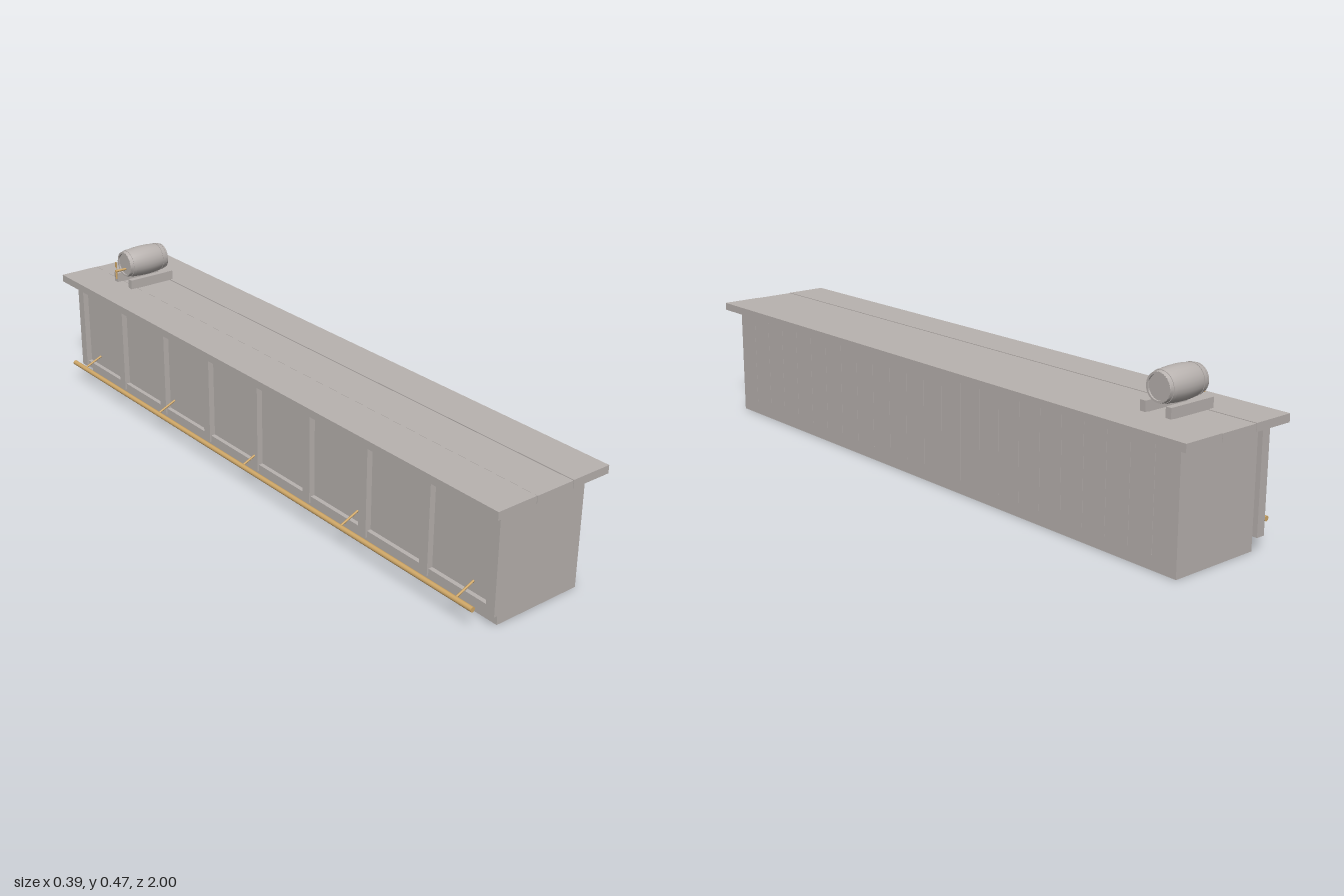
import * as THREE from 'three';
import { toCreasedNormals } from 'three/addons/utils/BufferGeometryUtils.js';

export function createModel() {
  const model = new THREE.Group();
  model.name = 'barCounter';

  const wood = new THREE.MeshStandardMaterial({ color: 0xb8b2af });
  wood.name = 'pale grey wood';
  const brass = new THREE.MeshStandardMaterial({ color: 0xd0a868 });
  brass.name = 'brass';

  const group = (name) => {
    const g = new THREE.Group();
    g.name = name;
    model.add(g);
    return g;
  };
  const add = (parent, name, geometry, material) => {
    const mesh = new THREE.Mesh(geometry, material);
    mesh.name = name;
    parent.add(mesh);
    return mesh;
  };
  // Box given by its lower and upper limits on each axis
  const box = (parent, name, x0, x1, y0, y1, z0, z1, material = wood) => {
    const mesh = add(parent, name, new THREE.BoxGeometry(x1 - x0, y1 - y0, z1 - z0), material);
    mesh.position.set((x0 + x1) / 2, (y0 + y1) / 2, (z0 + z1) / 2);
    return mesh;
  };
  // Round bar between two points
  const rod = (parent, name, from, to, radius, sides = 12) => {
    const a = new THREE.Vector3(...from), b = new THREE.Vector3(...to);
    const mesh = add(parent, name, new THREE.CylinderGeometry(radius, radius, a.distanceTo(b), sides), brass);
    mesh.position.copy(a).add(b).multiplyScalar(0.5);
    mesh.quaternion.setFromUnitVectors(new THREE.Vector3(0, 1, 0), b.sub(a).normalize());
    return mesh;
  };

  // Cabinet: solid core, plinth and narrow boards on the serving side
  const cabinet = group('cabinet');
  const halfLength = 0.957;
  box(cabinet, 'core', -0.118, 0.16, 0.04, 0.335, -halfLength, halfLength);
  box(cabinet, 'plinth', -0.118, 0.163, 0, 0.04, -halfLength, halfLength);
  const boards = 24, boardPitch = (2 * halfLength) / boards;
  for (let i = 0; i < boards; i++) {
    const z = -halfLength + i * boardPitch;
    const start = i === 0 ? z : z + 0.0005;
    const end = i === boards - 1 ? halfLength : z + boardPitch - 0.0005;
    box(cabinet, 'servingSideBoard', 0.16, 0.163, 0.04, 0.335, start, end);
  }

  // Customer side: backing, stiles and recessed rails forming eight panels
  const panelling = group('panelling');
  const panelHalf = 0.972, panels = 8, stile = 0.03;
  box(panelling, 'backing', -0.127, -0.118, 0.04, 0.335, -panelHalf, panelHalf);
  const pitch = (2 * panelHalf - stile) / panels;
  for (let i = 0; i <= panels; i++) {
    const z = -panelHalf + i * pitch;
    box(panelling, 'stile', -0.145, -0.127, 0.04, 0.335, z, z + stile);
    if (i === panels) break;
    for (const y of [0.04, 0.315]) {
      box(panelling, 'rail', -0.14, -0.127, y, y + 0.02, z + stile, z + pitch);
    }
  }

  // Counter top of three long planks
  const top = group('counterTop');
  box(top, 'customerPlank', -0.184, -0.057, 0.335, 0.358, -1, 1);
  box(top, 'middlePlank', -0.055, 0.068, 0.335, 0.357, -1, 1);
  box(top, 'servingPlank', 0.07, 0.196, 0.335, 0.358, -1, 1);

  // Foot rail on sloping brackets
  const footRail = group('footRail');
  rod(footRail, 'rail', [-0.19, 0.066, -0.943], [-0.19, 0.066, 0.943], 0.0075);
  for (let i = -2; i <= 2; i++) {
    rod(footRail, 'bracket', [-0.127, 0.093, i * 0.44], [-0.19, 0.066, i * 0.44], 0.0032, 8);
  }

  // Barrel lying across the counter on two bearers
  const barrel = group('barrel');
  const cx = 0.0015, cy = 0.4265, cz = -0.797;
  for (const side of [-1, 1]) {
    const z = cz + side * 0.042;
    box(barrel, 'bearer', -0.077, 0.079, 0.357, 0.387, z - 0.009, z + 0.009);
  }
  const lathe = (name, points) => {
    const geometry = new THREE.LatheGeometry(points.map(([r, y]) => new THREE.Vector2(r, y)), 24);
    geometry.rotateZ(-Math.PI / 2);
    const mesh = add(barrel, name, toCreasedNormals(geometry, 0.6), wood);
    mesh.position.set(cx, cy, cz);
    return mesh;
  };
  const half = 0.0715;
  const radiusAt = (y) => 0.0475 - 0.0085 * (y / half) ** 2;
  const profile = [[0, -half + 0.005], [0.034, -half + 0.005], [0.034, -half]];
  for (let i = 0; i <= 12; i++) {
    const y = -half + (i * half) / 6;
    profile.push([radiusAt(y), y]);
  }
  profile.push([0.034, half], [0.034, half - 0.005], [0, half - 0.005]);
  lathe('staves', profile);
  // Hoops near the ends and flush end bands
  const hoop = (name, y0, y1, thick) => lathe(name, [
    [radiusAt(y0) - 0.002, y0], [radiusAt(y0) + thick, y0],
    [radiusAt(y1) + thick, y1], [radiusAt(y1) - 0.002, y1],
  ]);
  for (const side of [-1, 1]) {
    hoop('hoop', side * 0.055 - 0.005, side * 0.055 + 0.005, 0.0015);
    hoop('endBand', side * 0.068 - 0.003, side * 0.068 + 0.003, 0.0006);
  }

  // Tap with spout and flat handle
  const tap = group('tap');
  rod(tap, 'pipe', [-0.103, 0.41, cz], [-0.064, 0.41, cz], 0.0038);
  rod(tap, 'spout', [-0.1, 0.385, cz], [-0.1, 0.41, cz], 0.003);
  rod(tap, 'stem', [-0.1, 0.41, cz], [-0.1, 0.43, cz], 0.0012, 8);
  box(tap, 'handle', -0.101, -0.099, 0.422, 0.44, cz - 0.004, cz + 0.004, brass);

  return model;
}
